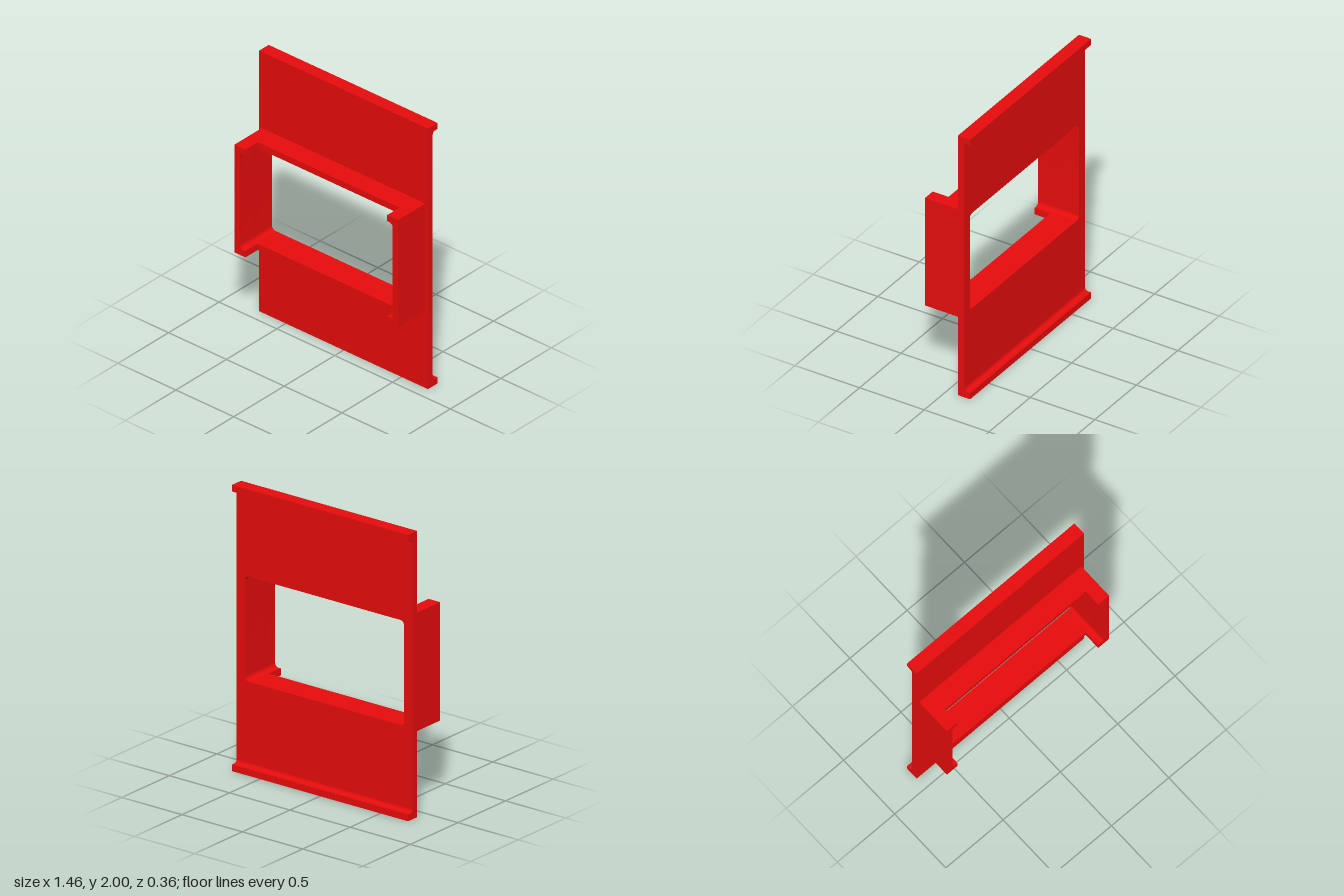
import * as THREE from 'three';
import { toCreasedNormals } from 'three/addons/utils/BufferGeometryUtils.js';

const RED = new THREE.MeshStandardMaterial({ color: 0xe60c0c });

const HALF_W = 0.73, HEIGHT = 2;
const Z_LIP = -0.182, Z_BACK = -0.135, Z_FACE = -0.088, Z_COLLAR = 0.06, Z_POST = 0.182;
const OUT = { x: 0.707, y0: 0.587, y1: 1.415 };   // collar outside
const HOLE = { x: 0.66, y0: 0.635, y1: 1.368 };   // window opening
const POST_X = 0.613, R = 0.03;

function rect(x, y0, y1) {
  return new THREE.Shape([[-x, y0], [x, y0], [x, y1], [-x, y1]].map(p => new THREE.Vector2(...p)));
}

function windowHole() {
  const { x, y0, y1 } = HOLE, p = new THREE.Path();
  p.absarc(x - R, y0 + R, R, -Math.PI / 2, 0);
  p.absarc(x - R, y1 - R, R, 0, Math.PI / 2);
  p.absarc(-x + R, y1 - R, R, Math.PI / 2, Math.PI);
  p.absarc(-x + R, y0 + R, R, Math.PI, Math.PI * 1.5);
  p.closePath();
  return p;
}

function extrude(shape, depth) {
  const g = new THREE.ExtrudeGeometry(shape, { depth, bevelEnabled: false, curveSegments: 8 });
  return toCreasedNormals(g, 0.5);
}

function add(group, name, geometry) {
  const mesh = new THREE.Mesh(geometry, RED);
  mesh.name = name;
  group.add(mesh);
  return mesh;
}

export function createModel() {
  const model = new THREE.Group();
  model.name = 'windowPanel';

  // Flat plate with the rounded window cut through it
  const plate = rect(HALF_W, 0, HEIGHT);
  plate.holes.push(windowHole());
  add(model, 'plate', extrude(plate, Z_FACE - Z_BACK)).position.z = Z_BACK;

  // Collar around the window
  const collar = rect(OUT.x, OUT.y0, OUT.y1);
  collar.holes.push(windowHole());
  add(model, 'collar', extrude(collar, Z_COLLAR - Z_FACE)).position.z = Z_FACE;

  // C-shaped posts carrying the collar's ends further forward
  const post = new THREE.Shape();
  post.moveTo(POST_X, OUT.y0);
  post.lineTo(OUT.x, OUT.y0);
  post.lineTo(OUT.x, OUT.y1);
  post.lineTo(POST_X, OUT.y1);
  post.lineTo(POST_X, HOLE.y1);
  post.absarc(HOLE.x - R, HOLE.y1 - R, R, Math.PI / 2, 0, true);
  post.absarc(HOLE.x - R, HOLE.y0 + R, R, 0, -Math.PI / 2, true);
  post.lineTo(POST_X, HOLE.y0);
  post.closePath();
  const postGeometry = extrude(post, Z_POST - Z_COLLAR);
  add(model, 'leftPost', postGeometry).position.z = Z_COLLAR;
  // The right post is the left one turned half round, about the window's centre
  const rightPost = add(model, 'rightPost', postGeometry);
  rightPost.rotation.z = Math.PI;
  rightPost.position.set(0, OUT.y0 + OUT.y1, Z_COLLAR);

  // Rear lips along the bottom and top edges, filleted into the plate
  const lip = new THREE.Shape();
  const lipY = 0.047, f = 0.022;
  lip.moveTo(-Z_BACK, 0);
  lip.lineTo(-Z_LIP, 0);
  lip.lineTo(-Z_LIP, lipY);
  lip.absarc(-Z_BACK + f, lipY + f, f, -Math.PI / 2, -Math.PI, true);
  lip.closePath();
  const lipGeometry = extrude(lip, HALF_W * 2).rotateY(Math.PI / 2).translate(-HALF_W, 0, 0);
  add(model, 'bottomLip', lipGeometry);
  const topLip = add(model, 'topLip', lipGeometry);
  topLip.rotation.z = Math.PI;
  topLip.position.y = HEIGHT;

  return model;
}
